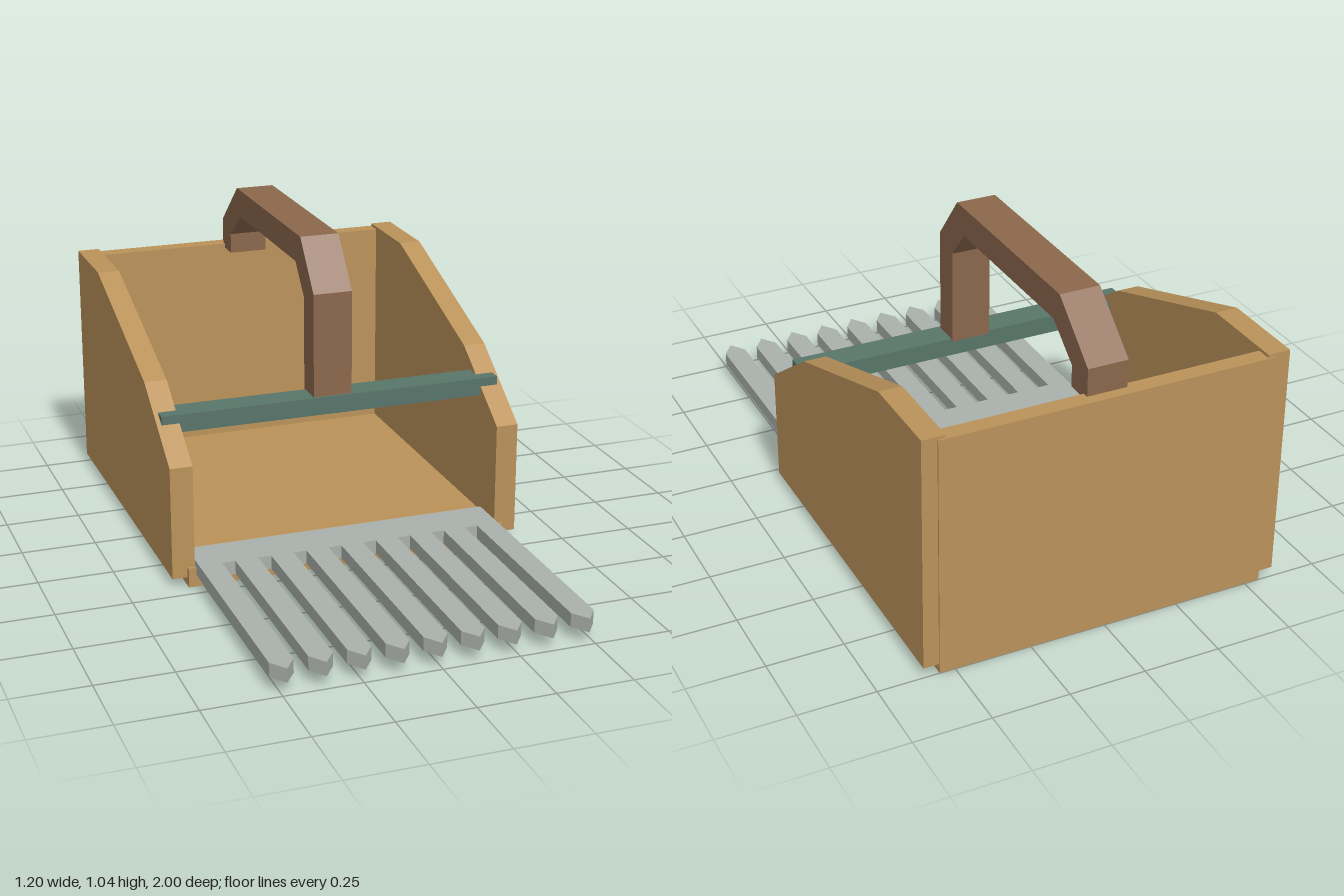
import * as THREE from 'three';

const material = (color) => new THREE.MeshStandardMaterial({ color, flatShading: true });

function addMesh(parent, name, geometry, mat) {
  const mesh = new THREE.Mesh(geometry, mat);
  mesh.name = name;
  parent.add(mesh);
  return mesh;
}

// Box given by its limits on each axis
function boxBetween([x0, x1], [y0, y1], [z0, z1]) {
  return new THREE.BoxGeometry(x1 - x0, y1 - y0, z1 - z0)
    .translate((x0 + x1) / 2, (y0 + y1) / 2, (z0 + z1) / 2);
}

// Profile of [z, y] points, extruded along x from x0 to x1
function sideProfile(points, x0, x1) {
  const shape = new THREE.Shape(points.map(([z, y]) => new THREE.Vector2(-z, y)));
  return new THREE.ExtrudeGeometry(shape, { depth: x1 - x0, bevelEnabled: false })
    .rotateY(Math.PI / 2)
    .translate(x0, 0, 0);
}

// Outline of [x, z] points, extruded upward from y0 to y1
function flatPlate(points, y0, y1) {
  const shape = new THREE.Shape(points.map(([x, z]) => new THREE.Vector2(x, -z)));
  return new THREE.ExtrudeGeometry(shape, { depth: y1 - y0, bevelEnabled: false })
    .rotateX(-Math.PI / 2)
    .translate(0, y0, 0);
}

export function createModel() {
  const group = new THREE.Group();
  group.name = 'berryPickingScoop';
  const wood = material(0xbb925a);
  const darkWood = material(0x8b674c);
  const green = material(0x58756a);
  const metal = material(0xaab0ac);

  // Box: floor, back and two sloping sides
  addMesh(group, 'floor', boxBetween([-0.55, 0.55], [0, 0.065], [-1, 0.2]), wood);
  addMesh(group, 'backPanel', boxBetween([-0.55, 0.55], [0, 0.8], [-1, -0.945]), wood);
  const side = [[0.185, 0.03], [0.185, 0.41], [-0.1, 0.605], [-0.7, 0.81], [-0.995, 0.81], [-0.995, 0.03]];
  addMesh(group, 'leftSide', sideProfile(side, 0.525, 0.6), wood);
  addMesh(group, 'rightSide', sideProfile(side, -0.6, -0.525), wood);

  // Crossbar let into both sides
  addMesh(group, 'crossbar', boxBetween([-0.585, 0.585], [0.475, 0.535], [-0.05, 0.045]), green);

  // Handle from the crossbar to the back panel
  const handle = [
    [0.035, 0.53], [0.035, 0.885], [-0.095, 1.045], [-0.785, 1.045], [-0.965, 0.89], [-0.965, 0.785],
    [-0.87, 0.785], [-0.87, 0.855], [-0.75, 0.95], [-0.145, 0.95], [-0.06, 0.85], [-0.06, 0.53],
  ];
  addMesh(group, 'handle', sideProfile(handle, -0.066, 0.066), darkWood);

  // Comb: a strip with nine pointed teeth
  const teeth = 9, pitch = 0.1206, half = 0.038;
  const comb = [];
  for (let i = 0; i < teeth; i++) {
    const x = -0.486 + i * pitch;
    if (i > 0) comb.push([x - half, 0.235]);
    comb.push([x - half, 0.945], [x, 0.998], [x + half, 0.945]);
    if (i < teeth - 1) comb.push([x + half, 0.235]);
  }
  comb.push([0.517, 0.085], [-0.524, 0.085]);
  addMesh(group, 'comb', flatPlate(comb, 0.04, 0.086), metal);

  return group;
}
